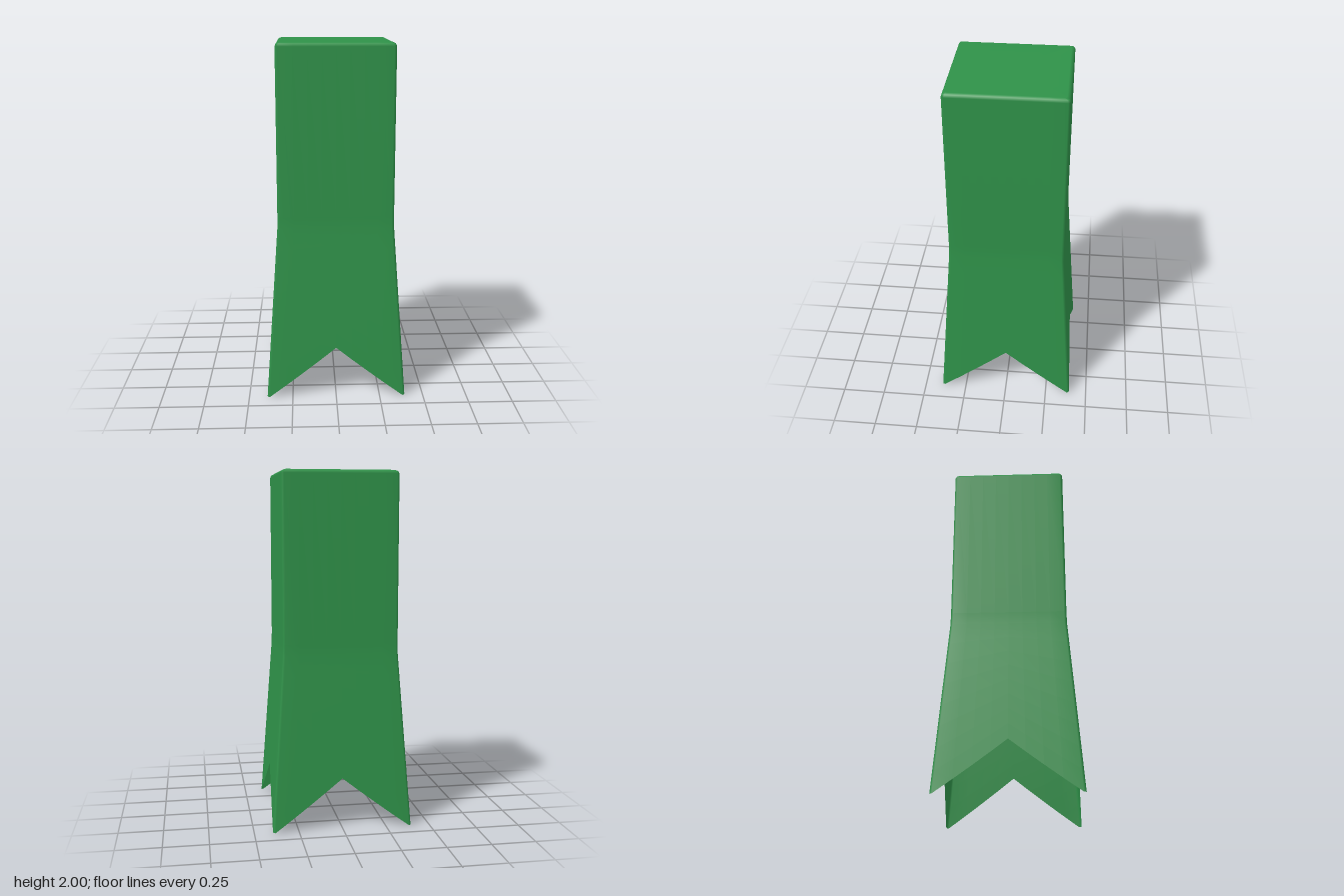
import * as THREE from 'three';

const NOTCH = 0.29; // height of the V cut in the middle of each side
const SIDE = [-1, -0.75, -0.5, -0.25, 0, 0.25, 0.5, 0.75, 1];

// Half width of the square section: straight above y = 1, flaring below
const halfWidth = (y) => 0.325 + 0.071 * Math.max(0, 1 - y);

// One loop of the softly cornered square; each point carries its hem height
function sectionPoints() {
  const points = [];
  for (let k = 0; k < 4; k++) {
    const a = (k * Math.PI) / 2;
    const n = [Math.round(Math.sin(a)), Math.round(Math.cos(a))];
    const t = [n[1], -n[0]];
    for (const u of SIDE) {
      points.push({ n, t, u, corner: false, hem: NOTCH * (1 - Math.abs(u)) });
    }
    points.push({ n, t, u: 1, corner: true, hem: 0 });
  }
  return points;
}

function place(p, h, y) {
  const r = Math.min(0.014, h);
  const out = p.corner ? h - r + r * Math.SQRT1_2 : h;
  const along = p.corner ? out : p.u * (h - r);
  return [p.n[0] * out + p.t[0] * along, y, p.n[1] * out + p.t[1] * along];
}

function shellGeometry() {
  const points = sectionPoints();
  const rows = [];
  // Closed top with a small rounded rim: [half width, height]
  for (const [h, y] of [[0, 2], [0.305, 2], [0.319, 1.994], [0.325, 1.98], [0.325, 1.05]]) {
    rows.push(points.map((p) => place(p, h, y)));
  }
  // Flared skirt, running down to the zigzag hem
  for (let i = 0; i <= 8; i++) {
    rows.push(points.map((p) => {
      const y = THREE.MathUtils.lerp(0.98, p.hem, i / 8);
      return place(p, halfWidth(y), y);
    }));
  }
  const count = points.length;
  const index = [];
  for (let i = 0; i < rows.length - 1; i++) {
    for (let j = 0; j < count; j++) {
      const k = (j + 1) % count;
      const a = i * count + j, b = a + count;
      const d = i * count + k, c = d + count;
      index.push(a, b, c);
      if (i > 0) index.push(a, c, d);
    }
  }
  const geometry = new THREE.BufferGeometry();
  geometry.setAttribute('position', new THREE.Float32BufferAttribute(rows.flat(2), 3));
  geometry.setIndex(index);
  geometry.computeVertexNormals();
  return geometry;
}

export function createModel() {
  const group = new THREE.Group();
  group.name = 'flaredSquareCover';

  const green = new THREE.MeshStandardMaterial({ color: 0x2f9249, side: THREE.DoubleSide });
  green.name = 'leaf green';

  // Hollow shell, open underneath
  const shell = new THREE.Mesh(shellGeometry(), green);
  shell.name = 'notchedShell';
  group.add(shell);
  return group;
}
